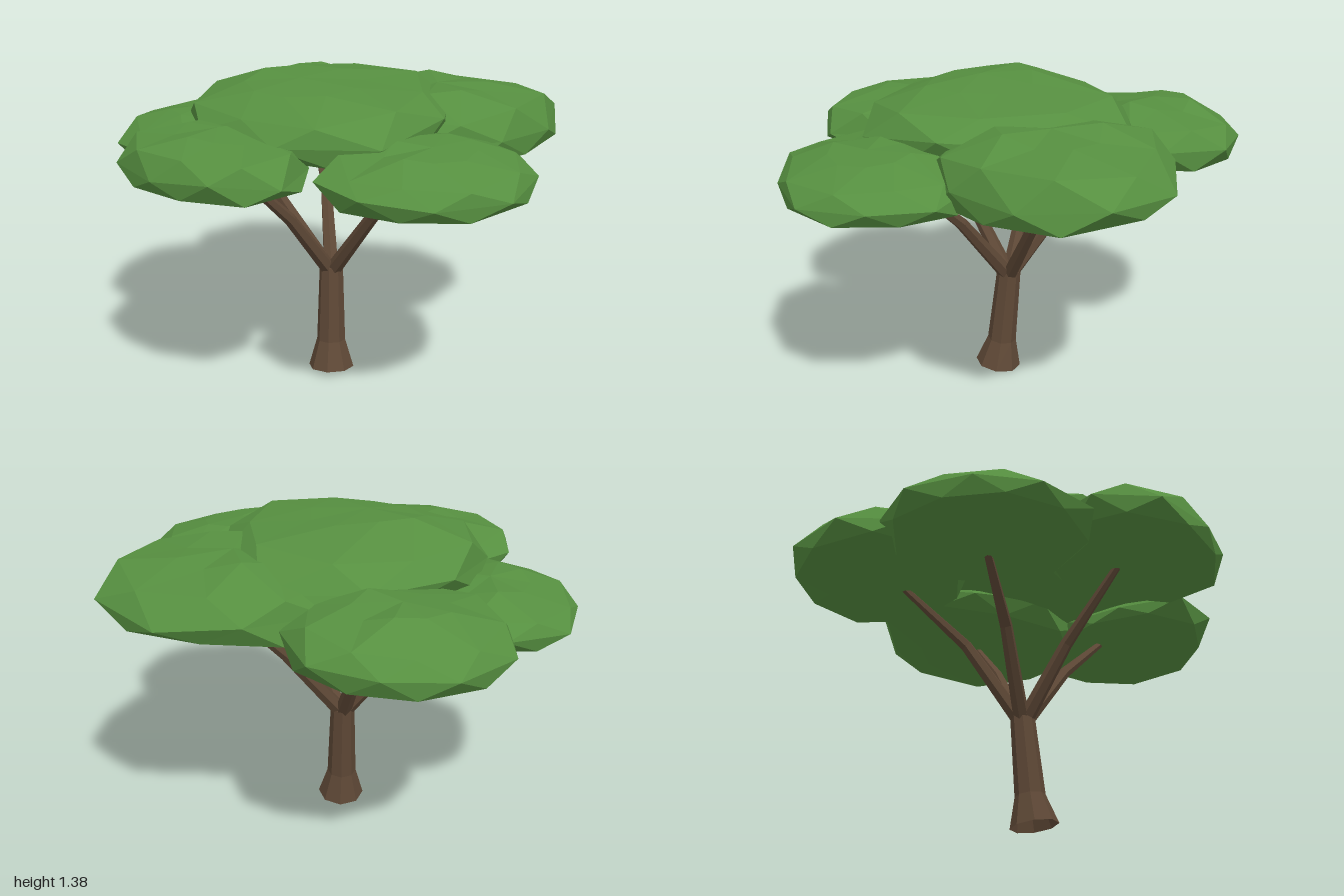
import * as THREE from 'three';

const bark = new THREE.MeshStandardMaterial({ color: 0x5e4836, flatShading: true, side: THREE.DoubleSide });
const leaf = new THREE.MeshStandardMaterial({ color: 0x568f40, flatShading: true });

// Small seeded noise in the range -1..1
let seed = 7;
const noise = () => {
  seed = (seed * 16807) % 2147483647;
  return (seed / 2147483647) * 2 - 1;
};

// Open tapered limb through points [x, y, z, radius]
function limb(name, path, sides) {
  const n = path.length - 1;
  const pts = path.map(p => new THREE.Vector3(p[0], p[1], p[2]));
  const turns = pts.map((p, i) => {
    const dir = pts[Math.min(i + 1, n)].clone().sub(pts[Math.max(i - 1, 0)]).normalize();
    return new THREE.Quaternion().setFromUnitVectors(new THREE.Vector3(0, 1, 0), dir);
  });
  const geo = new THREE.CylinderGeometry(1, 1, 1, sides, n, true);
  const pos = geo.attributes.position;
  const v = new THREE.Vector3();
  for (let i = 0; i < pos.count; i++) {
    const k = Math.round((pos.getY(i) + 0.5) * n);
    v.set(pos.getX(i), 0, pos.getZ(i)).multiplyScalar(path[k][3]).applyQuaternion(turns[k]).add(pts[k]);
    pos.setXYZ(i, v.x, v.y, v.z);
  }
  geo.computeVertexNormals();
  const mesh = new THREE.Mesh(geo, bark);
  mesh.name = name;
  return mesh;
}

// Cross-sections of a leaf pad, bottom to top: [outline scale, height fraction]
const sections = [[0.58, 0.03], [0.93, 0.12], [1, 0.42], [0.85, 0.74], [0.42, 0.95]];

// Faceted leaf pad: a lobed ellipse in plan, with a height range and a slope [dy/dx, dy/dz].
// The lobes are [count, angle of the first in degrees, strength]; peak moves the crown along z.
function leafPad({ name, centre: [cx, cz], radius: [rx, rz], lobes: [count, first, strength], y: [low, high], slope: [sx, sz], peak = 0 }) {
  const n = 9;
  const verts = [];
  const add = (x, f, z) => verts.push(cx + x, low + f * (high - low) + sx * x + sz * z, cz + z + peak * f * f);
  const start = THREE.MathUtils.degToRad(first);
  sections.forEach(([s, f], k) => {
    for (let i = 0; i < n; i++) {
      const turn = ((i + (k % 2) / 2) / n) * Math.PI * 2;
      const r = s * (1 + strength * Math.cos(count * turn) + 0.04 * noise());
      const lift = f + (f < 0.2 ? 0.04 : 0.09) * noise();
      add(rx * r * Math.cos(start + turn), lift, rz * r * Math.sin(start + turn));
    }
  });
  add(0, 0, 0);
  add(0, 1, 0);
  const bottom = sections.length * n;
  const last = bottom - n;
  const faces = [];
  for (let i = 0; i < n; i++) {
    const j = (i + 1) % n;
    for (let k = 0; k < sections.length - 1; k++) {
      const a = k * n, b = a + n;
      // Every second section is staggered by half a step
      if (k % 2) faces.push(b + i, b + j, a + i, a + i, b + j, a + j);
      else faces.push(a + i, b + i, a + j, a + j, b + i, b + j);
    }
    faces.push(i, j, bottom, last + i, bottom + 1, last + j);
  }
  const geo = new THREE.BufferGeometry();
  geo.setAttribute('position', new THREE.Float32BufferAttribute(verts, 3));
  geo.setIndex(faces);
  geo.computeVertexNormals();
  const mesh = new THREE.Mesh(geo, leaf);
  mesh.name = name;
  return mesh;
}

const pads = [
  { name: 'centreCanopy', centre: [-0.02, 0.05], radius: [0.57, 0.57], lobes: [3, 15, 0.08], y: [1.11, 1.37], slope: [0, -0.05], peak: 0.15 },
  { name: 'backCanopy', centre: [0.13, -0.47], radius: [0.5, 0.48], lobes: [3, 292, 0.07], y: [1.03, 1.3], slope: [0, -0.04], peak: 0.06 },
  { name: 'leftCanopy', centre: [0.66, 0.06], radius: [0.35, 0.45], lobes: [3, 112, 0.06], y: [1.02, 1.21], slope: [-0.05, 0] },
  { name: 'frontCanopy', centre: [0.04, 0.62], radius: [0.43, 0.36], lobes: [3, 120, 0.06], y: [1.03, 1.24], slope: [0, -0.03] },
  { name: 'rightFrontCanopy', centre: [-0.56, 0.36], radius: [0.4, 0.41], lobes: [2, 222, 0.08], y: [0.98, 1.17], slope: [0.02, -0.02] },
  { name: 'rightBackCanopy', centre: [-0.63, -0.24], radius: [0.39, 0.44], lobes: [2, 315, 0.08], y: [1.0, 1.25], slope: [0.04, -0.03] },
];

// Branch middle and tip positions
const branches = [
  ['leftBranch', [0.24, 0.8, 0.02], [0.53, 1.07, 0.02]],
  ['frontBranch', [-0.01, 0.77, 0.27], [0.02, 1.08, 0.58]],
  ['backBranch', [0.05, 0.8, -0.22], [0.13, 1.09, -0.49]],
  ['rightFrontBranch', [-0.27, 0.8, 0.17], [-0.54, 1.04, 0.32]],
  ['rightBackBranch', [-0.26, 0.8, -0.09], [-0.55, 1.04, -0.21]],
];

export function createModel() {
  const tree = new THREE.Group();
  tree.name = 'tree';

  // Leaning trunk with a flared foot, closing in where the branches start
  tree.add(limb('trunk', [
    [0, 0.012, 0.065, 0.103],
    [-0.015, 0.14, 0.055, 0.065],
    [-0.04, 0.49, 0.035, 0.053],
    [-0.04, 0.5, 0.035, 0.005],
  ], 8));

  // Branches spreading from the trunk top
  for (const [name, mid, tip] of branches) {
    tree.add(limb(name, [[-0.04, 0.46, 0.035, 0.036], [...mid, 0.027], [...tip, 0.015]], 6));
  }

  // Flat overlapping leaf pads
  for (const pad of pads) tree.add(leafPad(pad));

  return tree;
}
